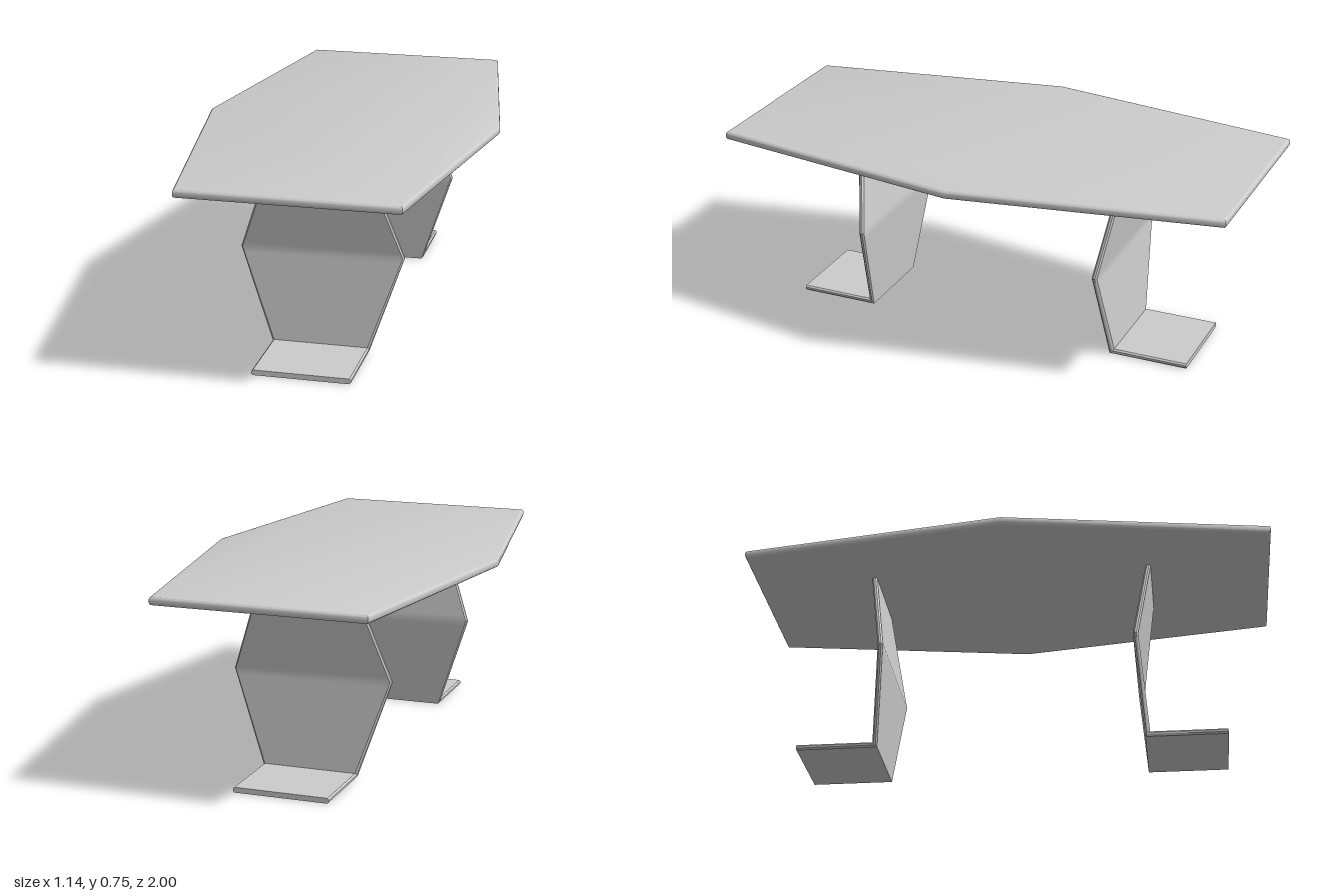
import * as THREE from 'three';
import { toCreasedNormals } from 'three/addons/utils/BufferGeometryUtils.js';

const material = new THREE.MeshStandardMaterial({ color: 0xcccccc, side: THREE.DoubleSide });

// Sweep a chamfered slab along a path of [z, y, halfWidth] in the z-y plane
function bentPanel(path, thickness, chamfer) {
  const h = thickness / 2, k = h - chamfer, n = path.length;
  const edgeNormal = i => {
    const a = path[i], b = path[i + 1];
    return new THREE.Vector2(-(b[1] - a[1]), b[0] - a[0]).normalize(); // (z, y)
  };
  const pos = [], index = [];
  path.forEach(([z, y, w], i) => {
    const n1 = edgeNormal(Math.max(i - 1, 0)), n2 = edgeNormal(Math.min(i, n - 2));
    const miter = n1.clone().add(n2).divideScalar(1 + n1.dot(n2));
    const c = w - chamfer;
    const loop = [[w, -k], [w, k], [c, h], [-c, h], [-w, k], [-w, -k], [-c, -h], [c, -h]];
    for (const [x, d] of loop) pos.push(x, y + miter.y * d, z + miter.x * d);
  });
  for (let i = 0; i < n - 1; i++) {
    for (let j = 0; j < 8; j++) {
      const a = i * 8 + j, b = i * 8 + (j + 1) % 8;
      index.push(a, b, b + 8, a, b + 8, a + 8);
    }
  }
  // End caps
  const e = (n - 1) * 8;
  for (let j = 1; j < 7; j++) index.push(0, j + 1, j, e, e + j, e + j + 1);
  const g = new THREE.BufferGeometry();
  g.setAttribute('position', new THREE.Float32BufferAttribute(pos, 3));
  g.setIndex(index);
  return toCreasedNormals(g, 0.5);
}

const mix = (a, b, t) => a.map((v, i) => v + (b[i] - v) * t);

export function createModel() {
  const table = new THREE.Group();
  table.name = 'table';

  // Elongated hexagonal top with rounded edges
  const outline = [[0.4, -1], [0.568, 0], [0.4, 1], [-0.4, 1], [-0.568, 0], [-0.4, -1]];
  const shape = new THREE.Shape(outline.map(([x, y]) => new THREE.Vector2(x, y)));
  const bevel = 0.011;
  const topGeometry = new THREE.ExtrudeGeometry(shape, {
    depth: 0.01, bevelEnabled: true, bevelThickness: bevel, bevelSize: bevel,
    bevelOffset: -bevel, bevelSegments: 3,
  });
  topGeometry.rotateX(-Math.PI / 2).translate(0, 0.715 + bevel, 0);
  const top = new THREE.Mesh(toCreasedNormals(topGeometry, 0.6), material);
  top.name = 'tableTop';
  table.add(top);

  // Folded legs: upper panel, knee, lower panel, outward foot
  const head = [0.534, 0.72, 0.184], knee = [0.481, 0.37, 0.308];
  const heel = [0.512, 0.011, 0.184], toe = [0.81, 0.011, 0.184];
  // Extra rings beside the knee keep its soft shading narrow
  const path = [head, mix(knee, head, 0.06), knee, mix(knee, heel, 0.06), heel, toe];
  const legGeometry = bentPanel(path, 0.02, 0.006);
  ['frontLeg', 'backLeg'].forEach((name, i) => {
    const leg = new THREE.Mesh(legGeometry, material);
    leg.name = name;
    leg.position.x = -0.004;
    leg.rotation.y = i * Math.PI;
    table.add(leg);
  });
  return table;
}
